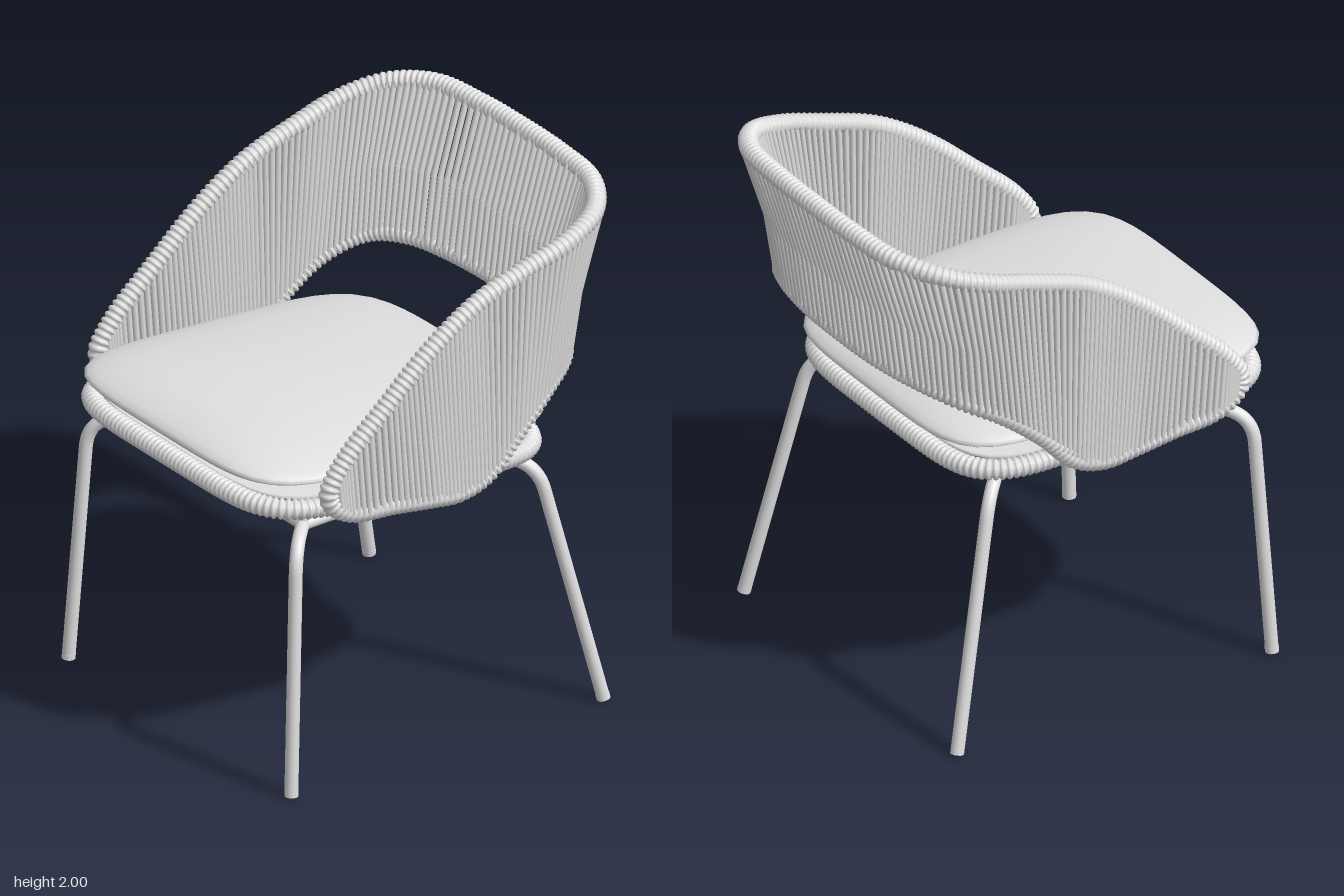
import * as THREE from 'three';
import { mergeGeometries, mergeVertices } from 'three/addons/utils/BufferGeometryUtils.js';

const V = (x, y, z) => new THREE.Vector3(x, y, z);
const UP = V(0, 1, 0);

// Weld seams and recompute smooth normals
function smooth(geometry) {
  geometry.deleteAttribute('uv');
  geometry.deleteAttribute('normal');
  const g = mergeVertices(geometry, 1e-5);
  g.computeVertexNormals();
  return g;
}

// Closed tube whose radius swells once per turn of the wrapped cord
function wrappedTube(curve, radius, pitch) {
  curve.arcLengthDivisions = 1500;
  const turns = Math.round(curve.getLength() / pitch), steps = 4, sides = 10;
  const n = turns * steps;
  const g = new THREE.TubeGeometry(curve, n, radius, sides, true);
  const p = g.attributes.position, v = V(), swell = [0.74, 0.93, 1, 0.93];
  for (let i = 0; i <= n; i++) {
    const c = curve.getPointAt((i % n) / n);
    for (let j = 0; j <= sides; j++) {
      const k = i * (sides + 1) + j;
      v.fromBufferAttribute(p, k).sub(c).multiplyScalar(swell[i % steps]).add(c);
      p.setXYZ(k, v.x, v.y, v.z);
    }
  }
  return smooth(g);
}

// Straight round bar between two points
function bar(a, b, r, sides, open = false) {
  const d = b.clone().sub(a);
  const g = new THREE.CylinderGeometry(r, r, d.length(), sides, 1, open);
  g.applyQuaternion(new THREE.Quaternion().setFromUnitVectors(UP, d.normalize()));
  const m = a.clone().add(b).multiplyScalar(0.5);
  return g.translate(m.x, m.y, m.z);
}

// Rounded-square outline: unit radius at an angle
const squircle = (a, n) =>
  Math.pow(Math.abs(Math.cos(a)) ** n + Math.abs(Math.sin(a)) ** n, -1 / n);

// Lathe bent into a rounded square, thinner toward the sides, tilted down toward the back
function squareLathe(profile, hx, hz, zc, y0, slope) {
  const g = new THREE.LatheGeometry(profile.map(([x, y]) => new THREE.Vector2(x, y)), 72);
  const p = g.attributes.position;
  for (let i = 0; i < p.count; i++) {
    const x = p.getX(i), z = p.getZ(i), r = squircle(Math.atan2(z, x), 5);
    const Z = zc + z * r * hz, dome = 1 - 0.35 * (x * r) ** 2;
    p.setXYZ(i, x * r * hx, p.getY(i) * dome + y0 + Z * slope, Z);
  }
  return smooth(g);
}

export function createModel() {
  const group = new THREE.Group();
  const grey = new THREE.MeshStandardMaterial({ color: 0xe0e0e0 });
  grey.name = 'light grey';
  const add = (name, geometry) => {
    const m = new THREE.Mesh(geometry, grey);
    m.name = name;
    group.add(m);
  };

  // Paired points of the upper and lower rail, from arm front to back centre
  const upper = [
    [0.70, 1.19, 0.575], [0.70, 1.30, 0.50], [0.70, 1.46, 0.32], [0.70, 1.59, 0.17],
    [0.70, 1.69, 0.03], [0.70, 1.76, -0.10], [0.70, 1.825, -0.30], [0.697, 1.875, -0.475],
    [0.635, 1.922, -0.64], [0.48, 1.952, -0.747], [0.24, 1.961, -0.777], [0, 1.963, -0.782]];
  const lower = [
    [0.70, 1.14, 0.565], [0.70, 1.08, 0.48], [0.70, 1.055, 0.29], [0.70, 1.03, 0.12],
    [0.70, 1.018, 0], [0.70, 1.055, -0.12], [0.697, 1.19, -0.26], [0.67, 1.295, -0.395],
    [0.595, 1.368, -0.535], [0.45, 1.397, -0.61], [0.24, 1.403, -0.65], [0, 1.405, -0.66]];
  const mirrored = pts => [
    ...pts.map(p => V(...p)),
    ...pts.slice(0, -1).reverse().map(([x, y, z]) => V(-x, y, z))];
  const top = mirrored(upper), bottom = mirrored(lower);

  // Wrapped rim of arms and backrest
  const rim = new THREE.CatmullRomCurve3([...top, ...bottom.slice().reverse()], true);
  add('backrestRim', wrappedTube(rim, 0.039, 0.024));

  // Two layers of cords strung between the rails, bowed forward a little at the back
  const topCurve = new THREE.CatmullRomCurve3(top);
  const bottomCurve = new THREE.CatmullRomCurve3(bottom);
  const cords = [], count = 154;
  for (const side of [-1, 1]) {
    for (let i = 2; i < count - 2; i++) {
      const t = (i + 0.5 + side * 0.2) / count;
      const a = topCurve.getPoint(t), b = bottomCurve.getPoint(t);
      const off = topCurve.getTangent(t).cross(a.clone().sub(b)).normalize()
        .multiplyScalar(side * 0.024);
      a.add(off);
      b.add(off);
      const mid = a.clone().lerp(b, 0.55);
      mid.z += 0.022 * THREE.MathUtils.smoothstep(-a.z, 0.4, 0.75);
      cords.push(bar(b, mid, 0.0115, 7, true), bar(mid, a, 0.0115, 7, true));
    }
  }
  add('backrestCords', mergeGeometries(cords));

  // Wrapped seat ring
  const slope = 0.062, ring = [];
  for (let i = 0; i < 64; i++) {
    const a = (i / 64) * Math.PI * 2, r = squircle(a, 5.5);
    const z = 0.143 + Math.sin(a) * r * 0.63;
    ring.push(V(Math.cos(a) * r * 0.64, 1.062 + z * slope, z));
  }
  add('seatRing', wrappedTube(new THREE.CatmullRomCurve3(ring, true), 0.041, 0.024));

  // Seat panel resting in the top of the ring
  add('seatPanel', squareLathe(
    [[0, -0.01], [0.99, -0.01], [1, 0], [0.99, 0.01], [0, 0.01]],
    0.62, 0.61, 0.143, 1.088, slope));

  // Cushion tapering to a seam
  add('cushion', squareLathe(
    [[0, -0.06], [0.4, -0.059], [0.7, -0.054], [0.86, -0.043], [0.95, -0.026], [0.985, -0.012],
      [1, 0], [0.985, 0.016], [0.95, 0.033], [0.86, 0.058], [0.7, 0.08], [0.4, 0.091], [0, 0.095]],
    0.655, 0.685, 0.135, 1.172, 0.058));

  // Under-seat frame, legs and posts
  const y = 0.983, R = 0.025;
  const ends = [
    { name: 'front', start: V(0.52, y, 0.56), corner: V(0.63, y, 0.67), foot: V(0.675, 0.01, 0.725) },
    { name: 'rear', start: V(0.49, y, -0.31), corner: V(0.595, y, -0.415), foot: V(0.71, 0.01, -0.63) }];
  const flip = (p, s) => V(p.x * s, p.y, p.z);
  for (const { name, start, corner, foot } of ends) {
    for (const s of [1, -1]) {
      const [a, c, f] = [start, corner, foot].map(p => flip(p, s));
      const b0 = a.clone().lerp(c, 0.1), b1 = c.clone().lerp(f, 0.13);
      const path = new THREE.CurvePath();
      path.add(new THREE.LineCurve3(a, b0));
      path.add(new THREE.QuadraticBezierCurve3(b0, c, b1));
      path.add(new THREE.LineCurve3(b1, f));
      const label = s > 0 ? 'Left' : 'Right';
      add(name + label + 'Leg', new THREE.TubeGeometry(path, 72, R, 14));
      const tip = f.clone().sub(b1).normalize();
      add(name + label + 'Foot', bar(f.clone().addScaledVector(tip, -0.02),
        f.clone().addScaledVector(tip, 0.002), R + 0.0005, 14));
      add(name + label + 'Post', bar(a, V(a.x, 1.085 + a.z * slope, a.z), 0.02, 12));
    }
    add(name + 'Crossbar', bar(flip(start, -1), start, 0.023, 14));
  }
  for (const s of [1, -1])
    add(s > 0 ? 'leftRail' : 'rightRail',
      bar(flip(ends[0].start, s), flip(ends[1].start, s), 0.023, 14));

  return group;
}
